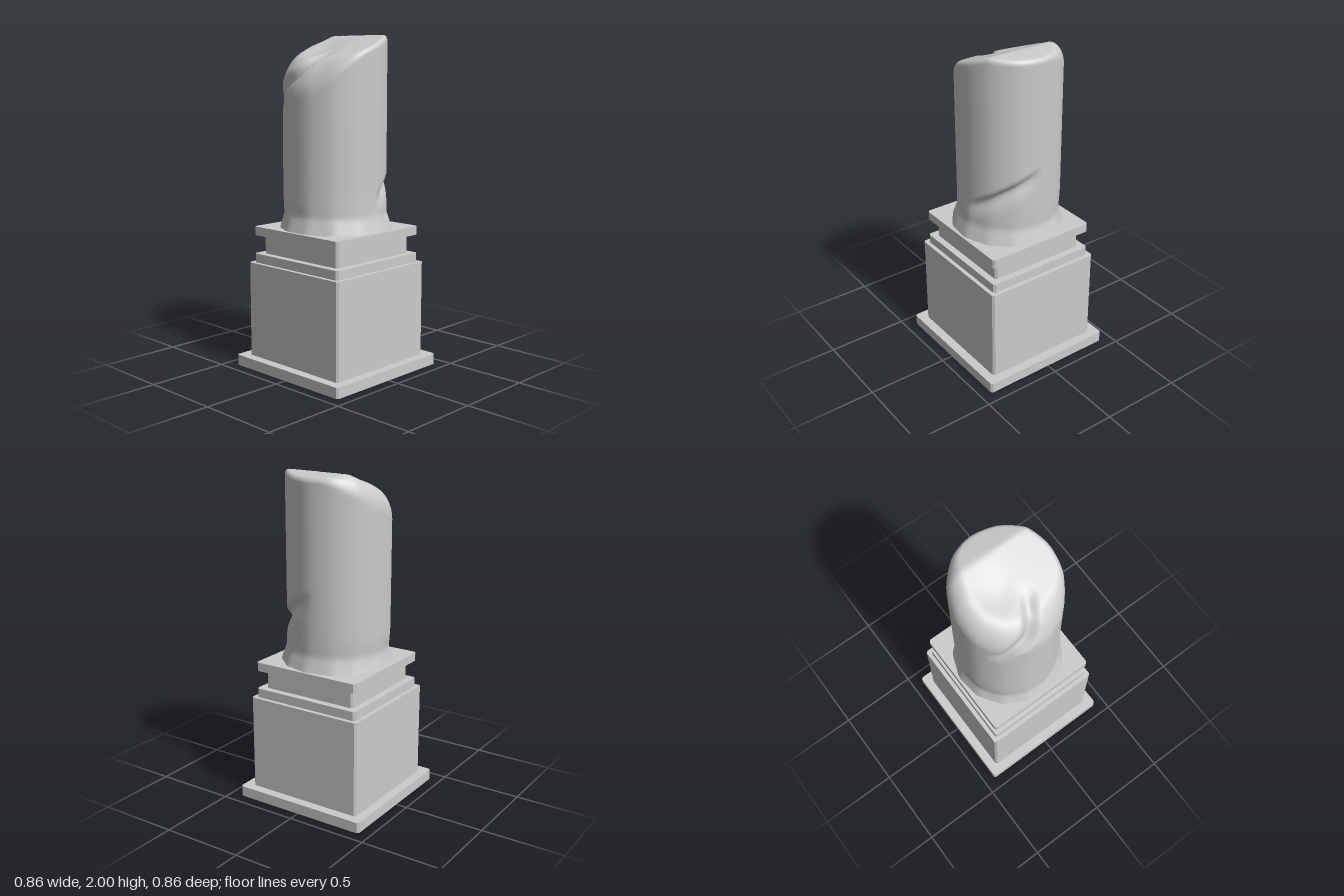
import * as THREE from 'three';

const material = new THREE.MeshStandardMaterial({ color: 0xcccccc });
const BASE = 0.865; // height where the shaft meets the pedestal
const SEG = 78, WALL = 48, CAP = 22, SIDES = 13;

// Square slab with chamfered vertical edges
function slab(name, half, y0, y1) {
  const c = 0.012, k = half - c;
  const shape = new THREE.Shape([
    [half, -k], [half, k], [k, half], [-k, half],
    [-half, k], [-half, -k], [-k, -half], [k, -half],
  ].map(([x, y]) => new THREE.Vector2(x, y)));
  const geo = new THREE.ExtrudeGeometry(shape, { depth: y1 - y0, bevelEnabled: false });
  geo.rotateX(-Math.PI / 2).translate(0, y0, 0);
  const mesh = new THREE.Mesh(geo, material);
  mesh.name = name;
  return mesh;
}

// Slanted broken top: rises to the left and falls off after its crest
function topHeight(x, z) {
  const crest = x < 0.16 ? 0.38 * x : 0.061 - 0.12 * (x - 0.16);
  const hollow = 0.02 * Math.exp(-((x + 0.02) ** 2 + (z + 0.08) ** 2) / 0.012);
  return 1.937 + crest - hollow;
}

// Rim rounding is wide toward the back and right, tight elsewhere
function rounding(a) {
  const d = Math.max(0, 0.5 - 0.5 * Math.cos(a + 3 * Math.PI / 4 - Math.PI));
  return 0.03 + 0.14 * THREE.MathUtils.smoothstep(d, 0.2, 0.75);
}

// Radius: slightly faceted, flared at the foot
function radius(a, y) {
  const step = 2 * Math.PI / SIDES;
  const off = (((a - Math.PI / 2) % step) + step) % step - step / 2;
  const facet = Math.cos(step / 2) / Math.cos(off);
  const low = 1 - THREE.MathUtils.smoothstep(y, BASE, 1.05);
  const flare = 0.03 * Math.max(0, 1 - (y - BASE) / 0.09);
  return (0.309 + flare) * (1 + (facet - 1) * (0.3 + 0.7 * low));
}

// Slanting gash low on the front left: sharp upper lip, soft lower slope
function gashDepth(a, y) {
  if (a < 0.1 || a > 1.55) return 0;
  const d = y - (1.07 + 0.165 * (a - 0.15));
  const depth = 0.036 * Math.sin(Math.PI * (a - 0.1) / 1.45) ** 0.7;
  return depth * (d < 0 ? Math.exp(-((d / 0.06) ** 2)) : Math.max(0, 1 - d / 0.035));
}

// Crack running over the right rim
const crack = new THREE.CatmullRomCurve3([
  [-0.09, 1.9, 0.06], [-0.19, 1.84, 0], [-0.26, 1.77, -0.07],
  [-0.24, 1.69, -0.17], [-0.21, 1.6, -0.23],
].map((p) => new THREE.Vector3(...p))).getPoints(40);

function crackDepth(p) {
  let best = 0;
  crack.forEach((q, i) => {
    const strength = 0.065 * Math.sin(Math.PI * (i + 1) / (crack.length + 1));
    best = Math.max(best, strength * Math.max(0, 1 - p.distanceTo(q) / 0.055));
  });
  return best;
}

function shaftGeometry() {
  const pos = [], index = [];
  const heart = new THREE.Vector3(0, 1.6, 0);
  const add = (p) => {
    const cut = crackDepth(p);
    if (cut) p.addScaledVector(heart.clone().sub(p).normalize(), cut);
    pos.push(p.x, p.y, p.z);
  };
  // Rings climb the wall, then close in over the top
  for (let i = 0; i <= WALL + CAP - 1; i++) {
    for (let j = 0; j < SEG; j++) {
      const a = (j / SEG) * 2 * Math.PI - Math.PI;
      const sx = Math.sin(a), sz = Math.cos(a);
      const rim = radius(a, 1.8), round = rounding(a);
      if (i <= WALL) {
        const end = topHeight(sx * rim, sz * rim) - round;
        const y = BASE + (end - BASE) * (i / WALL);
        const r = radius(a, y) - gashDepth(a, y);
        const shift = -0.01 * THREE.MathUtils.smoothstep(y, BASE, 1.1);
        add(new THREE.Vector3(sx * r, y, sz * r + shift));
      } else {
        const t = (i - WALL) / CAP;
        const s = Math.cos(t * Math.PI / 2);
        const inner = 1 - Math.min(0.42, round * 2.6);
        const e = Math.max(0, (s - inner) / (1 - inner));
        const x = sx * rim * s, z = sz * rim * s;
        const y = topHeight(x, z) - round * (1 - Math.sqrt(1 - e * e));
        add(new THREE.Vector3(x, y, z - 0.01));
      }
    }
  }
  const rings = WALL + CAP;
  for (let i = 0; i < rings - 1; i++) {
    for (let j = 0; j < SEG; j++) {
      const k = (j + 1) % SEG;
      const a = i * SEG + j, b = i * SEG + k;
      index.push(a, b, b + SEG, a, b + SEG, a + SEG);
    }
  }
  // Centre of the top
  pos.push(0, topHeight(0, 0), -0.01);
  for (let j = 0; j < SEG; j++) {
    index.push((rings - 1) * SEG + j, (rings - 1) * SEG + (j + 1) % SEG, rings * SEG);
  }
  const geo = new THREE.BufferGeometry();
  geo.setAttribute('position', new THREE.Float32BufferAttribute(pos, 3));
  geo.setIndex(index);
  geo.computeVertexNormals();
  return geo;
}

export function createModel() {
  const model = new THREE.Group();
  model.name = 'brokenColumn';

  // Stepped square pedestal
  const pedestal = new THREE.Group();
  pedestal.name = 'pedestal';
  pedestal.add(
    slab('plinth', 0.43, 0, 0.065),
    slab('pedestalBody', 0.373, 0.065, 0.645),
    slab('lowerMoulding', 0.348, 0.645, 0.7),
    slab('neck', 0.306, 0.7, 0.812),
    slab('upperMoulding', 0.348, 0.812, BASE),
  );

  // Weathered column stump
  const shaft = new THREE.Mesh(shaftGeometry(), material);
  shaft.name = 'brokenShaft';

  model.add(pedestal, shaft);
  return model;
}
